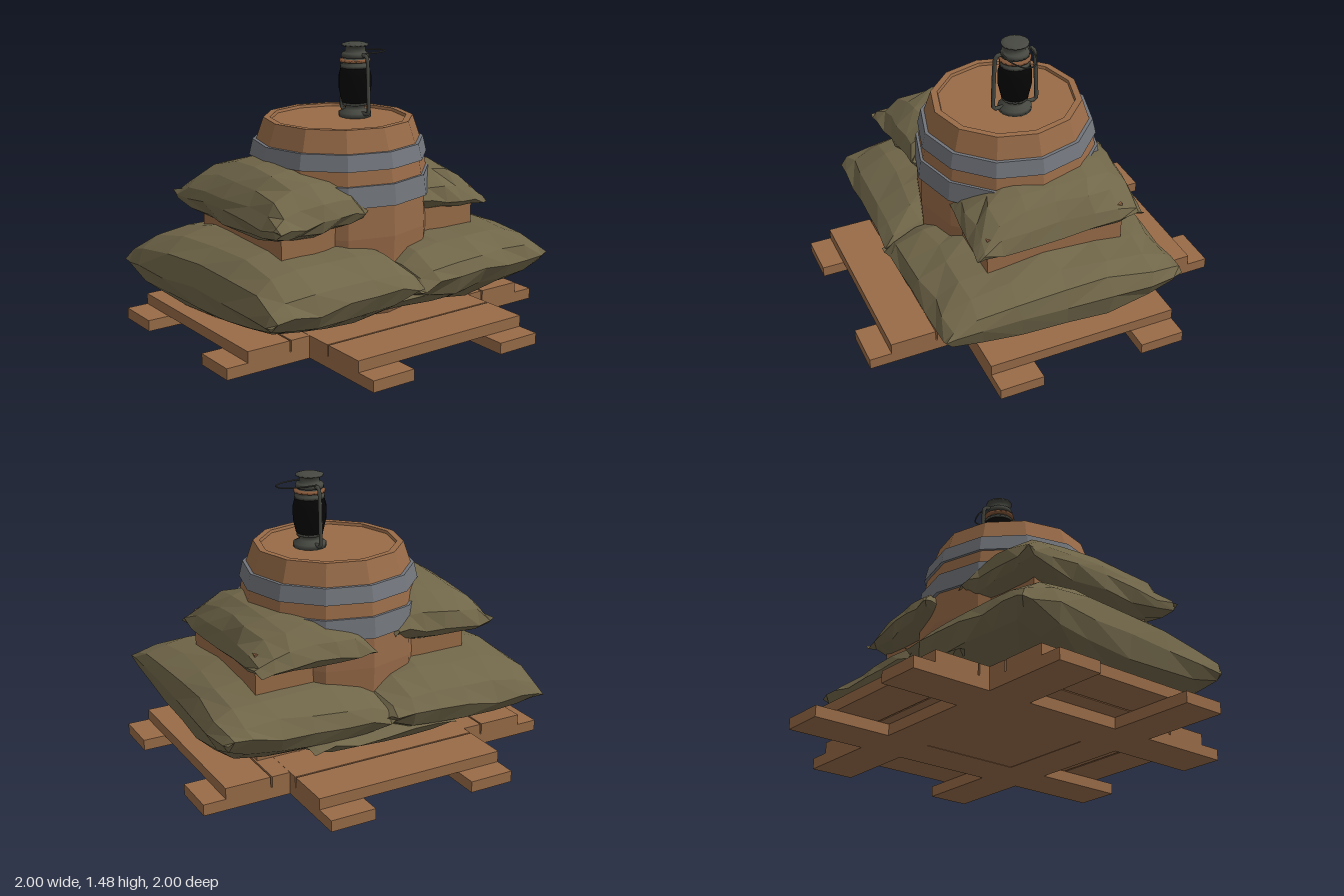
import * as THREE from 'three';

const mat = (name, color) => {
  const m = new THREE.MeshStandardMaterial({ color });
  m.name = name;
  return m;
};

export function createModel() {
  const wood = mat('wood', 0x986b48);
  const burlap = mat('burlap', 0x706649);
  const iron = mat('iron', 0x72767c);
  const lampMetal = mat('lampMetal', 0x464841);
  const lampGlass = mat('lampGlass', 0x050505);
  const copper = mat('copper', 0x85583a);
  const root = new THREE.Group();
  root.name = 'supplyPile';

  const add = (name, geo, material, parent = root) => {
    const m = new THREE.Mesh(geo, material);
    m.name = name;
    parent.add(m);
    return m;
  };
  const flat = (geo) => {
    const g = geo.index ? geo.toNonIndexed() : geo;
    g.computeVertexNormals();
    return g;
  };
  // Box given by its limits on each axis
  const box = (name, x0, x1, y0, y1, z0, z1, parent) => {
    const g = new THREE.BoxGeometry(x1 - x0, y1 - y0, z1 - z0);
    g.translate((x0 + x1) / 2, (y0 + y1) / 2, (z0 + z1) / 2);
    return add(name, g, wood, parent);
  };
  const lathe = (pts, sides) =>
    new THREE.LatheGeometry(pts.map(([r, y]) => new THREE.Vector2(r, y)), sides);

  // Two crossed pallets
  const pallets = new THREE.Group();
  pallets.name = 'pallets';
  root.add(pallets);
  for (const [a, b] of [[-0.57, -0.325], [0.235, 0.475]])
    box('runnerLengthwise', a, b, 0, 0.06, -1, 1, pallets);
  for (const [a, b] of [[-0.53, -0.285], [0.275, 0.52]])
    box('runnerCrosswise', -1, 1, 0, 0.06, a, b, pallets);
  box('palletCentre', -0.4, 0.4, 0.002, 0.06, -0.4, 0.4, pallets);
  for (let i = -3; i <= 3; i++) {
    const c = i * 0.253;
    box('plankLengthwise', c - 0.122, c + 0.122, 0.06, 0.12, -0.53, 0.52, pallets);
    box('plankCrosswise', -0.57, 0.475, 0.06, 0.119, c - 0.122, c + 0.122, pallets);
  }

  // Crate behind and in front of the barrel
  box('crate', -0.38, 0.38, 0.12, 0.7, -0.62, 0.62);

  // Barrel with a recessed lid
  add('barrel', flat(lathe([
    [0, 0.01], [0.4, 0.01], [0.455, 0.15], [0.485, 0.33], [0.495, 0.55],
    [0.485, 0.77], [0.455, 0.94], [0.4, 1.1], [0.365, 1.1], [0.36, 1.085], [0, 1.085],
  ], 12)), wood);
  const hoop = (y0, y1, r0, r1) => add('barrelHoop', flat(lathe([
    [r0 - 0.04, y0], [r0, y0], [r1, y1], [r1 - 0.04, y1],
  ], 12)), iron);
  hoop(0.715, 0.825, 0.504, 0.49);
  hoop(0.9, 0.985, 0.478, 0.458);

  // Stuffed sack: corners run back left, back right, front right, front left.
  // taper is the z direction in which the top slopes down, 0 for none
  const sack = (name, corners, low, seam, high, droop, taper, seed) => {
    const N = 8, pos = [], idx = [];
    const [A, B, C, D] = corners;
    const noise = (i, j, k) => {
      const s = Math.sin(i * 12.99 + j * 78.23 + k * 37.7 + seed * 9.1) * 43758.5;
      return s - Math.floor(s) - 0.5;
    };
    for (const side of [1, -1]) {
      const base = pos.length / 3;
      for (let j = 0; j <= N; j++) for (let i = 0; i <= N; i++) {
        // Spacing grows finer toward the seams
        const u = Math.sin((i / N - 0.5) * Math.PI), v = Math.sin((j / N - 0.5) * Math.PI);
        const rim = i % N === 0 || j % N === 0;
        const s = (u + 1) / 2, t = (v + 1) / 2;
        const at = (k) => (1 - t) * ((1 - s) * A[k] + s * B[k]) + t * ((1 - s) * D[k] + s * C[k]);
        const sloped = side > 0 && v * taper > 0;
        const puff = rim ? 0 : Math.pow(1 - Math.abs(u) ** 3, 0.6)
          * (sloped ? Math.pow(1 - v * v, 0.6) : Math.pow(1 - v ** 4, 0.5));
        const wob = rim ? 0 : noise(i, j, side);
        const full = (side > 0 ? high : low) - seam;
        // Uneven bulge along the end seams of the untapered sacks
        const bulge = taper ? 0 : 0.045 * v * Math.exp(-(((u + 0.6) / 0.3) ** 2));
        pos.push(
          at(0) + 0.04 * wob,
          seam + (rim ? 0.04 * noise(i, j, 5) : 0) + full * puff * (1 + 0.12 * wob)
            - droop * v * (1 - puff),
          at(1) + bulge + (rim ? 0 : 0.04 * noise(j, i, side)));
      }
      for (let j = 0; j < N; j++) for (let i = 0; i < N; i++) {
        const a = base + j * (N + 1) + i, b = a + 1, c = a + N + 1, d = c + 1;
        if (side > 0) idx.push(a, c, b, b, c, d);
        else idx.push(a, b, c, b, d, c);
      }
    }
    const g = new THREE.BufferGeometry();
    g.setAttribute('position', new THREE.Float32BufferAttribute(pos, 3));
    g.setIndex(idx);
    add(name, flat(g), burlap);
  };
  sack('lowerFrontSack', [[-0.69, 0], [0.72, -0.02], [0.69, 0.88], [-0.72, 0.92]],
    0.105, 0.32, 0.54, 0.02, 0, 1);
  sack('lowerBackSack', [[-0.61, -0.87], [0.71, -0.88], [0.73, 0.01], [-0.67, 0.03]],
    0.105, 0.34, 0.52, 0.02, 0, 2);
  sack('middleSack', [[-0.65, -0.42], [0.62, -0.41], [0.62, 0.4], [-0.66, 0.4]],
    0.11, 0.235, 0.28, 0, 0, 3);
  sack('upperFrontSack', [[-0.47, 0.14], [0.48, 0.16], [0.52, 0.73], [-0.51, 0.73]],
    0.56, 0.69, 0.91, 0.01, 1, 4);
  sack('upperBackSack', [[-0.49, -0.66], [0.45, -0.67], [0.42, -0.14], [-0.56, -0.02]],
    0.57, 0.65, 0.86, -0.02, -1, 5);

  // Lantern standing on the lid
  const lantern = new THREE.Group();
  lantern.name = 'lantern';
  lantern.position.set(0, 1.085, -0.11);
  root.add(lantern);
  add('lanternBase', lathe([
    [0, 0], [0.088, 0], [0.088, 0.025], [0.055, 0.04], [0.05, 0.06], [0.07, 0.065], [0.07, 0.08], [0, 0.08],
  ], 16), lampMetal, lantern);
  add('lanternGlass', lathe([
    [0.06, 0.065], [0.072, 0.08], [0.088, 0.15], [0.088, 0.225], [0.078, 0.265], [0.06, 0.27],
  ], 16), lampGlass, lantern);
  add('lanternCollar', lathe([
    [0, 0.265], [0.08, 0.265], [0.08, 0.28], [0.065, 0.287], [0.065, 0.32], [0, 0.32],
  ], 16), lampMetal, lantern);
  add('lanternRing', lathe([
    [0.06, 0.292], [0.084, 0.296], [0.084, 0.308], [0.06, 0.311],
  ], 16), copper, lantern);
  add('lanternCap', lathe([
    [0, 0.315], [0.076, 0.32], [0.076, 0.335], [0.07, 0.345], [0.055, 0.35], [0.055, 0.375],
    [0.073, 0.382], [0.073, 0.39], [0.05, 0.397], [0, 0.398],
  ], 16), lampMetal, lantern);

  const tube = (name, pts, r, tension) => add(name, new THREE.TubeGeometry(
    new THREE.CatmullRomCurve3(pts.map((p) => new THREE.Vector3(...p)), false, 'catmullrom', tension),
    28, r, 6), lampMetal, lantern);
  // Side frame tubes
  for (const s of [-1, 1])
    tube('lanternFrame', [
      [s * 0.05, 0.025, 0], [s * 0.11, 0.025, 0], [s * 0.122, 0.045, 0], [s * 0.117, 0.2, 0],
      [s * 0.11, 0.31, 0], [s * 0.096, 0.333, 0], [s * 0.05, 0.337, 0],
    ], 0.011, 0.3);
  // Wire handle folded back
  tube('lanternHandle', [
    [-0.08, 0.345, 0], [-0.07, 0.343, -0.1], [-0.035, 0.342, -0.175], [0, 0.342, -0.188],
    [0.035, 0.342, -0.175], [0.07, 0.343, -0.1], [0.08, 0.345, 0],
  ], 0.004, 0.5);

  return root;
}
